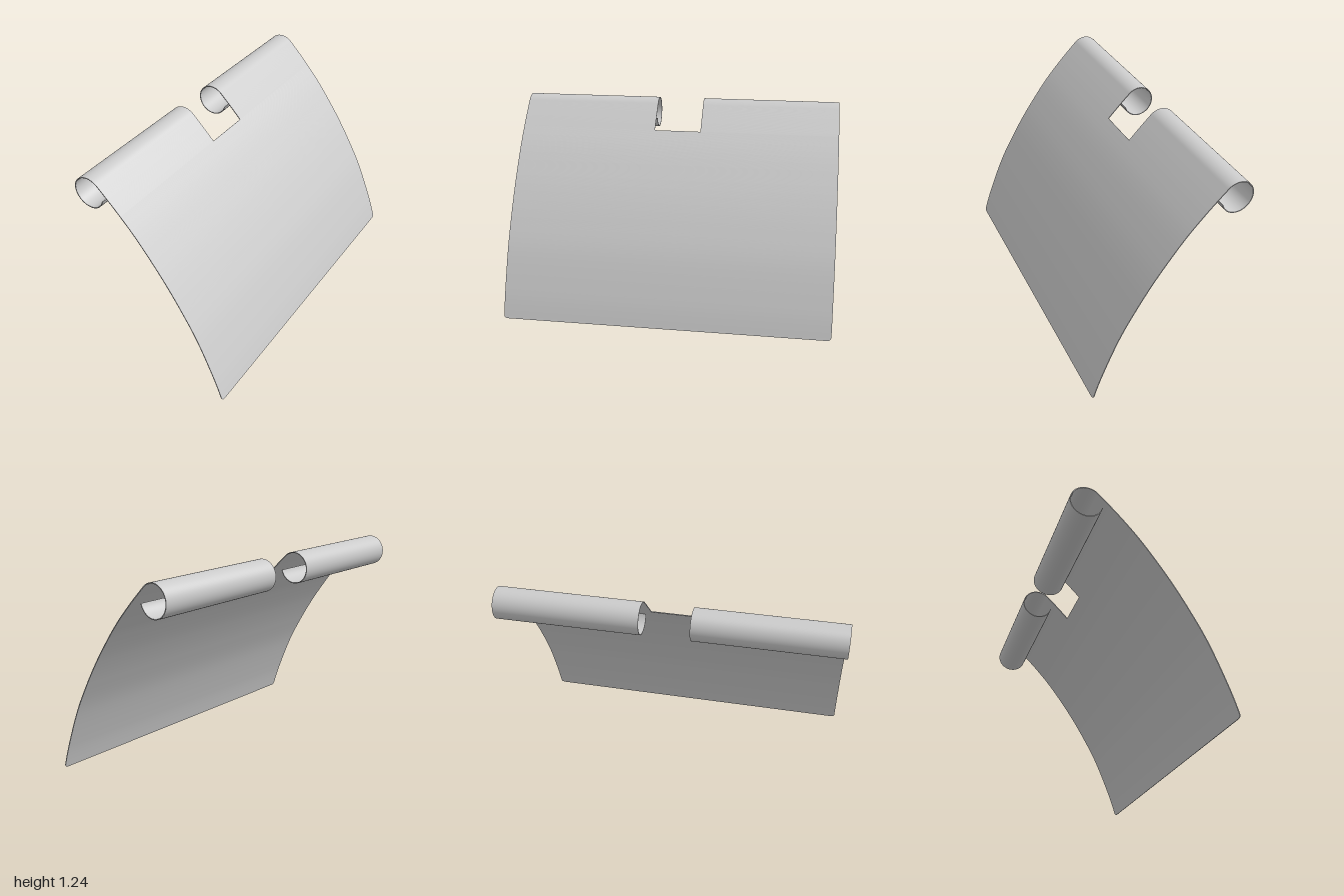
import * as THREE from 'three';

const THICK = 0.005, NOTCH = 0.145, HALF = 1, CORNER = 0.022, STEPS = 24;

// Side profile: bowed blade from the bottom edge up, then a rolled curl
function makeProfile() {
  const blade = new THREE.SplineCurve([
    [0.452, 0.001], [0.4, 0.155], [0.3, 0.395], [0.2, 0.58], [0.1, 0.741],
    [0, 0.882], [-0.08, 0.985], [-0.16, 1.075], [-0.23, 1.148], [-0.298, 1.215],
  ].map(([x, y]) => new THREE.Vector2(x, y)));
  const pts = blade.getPoints(9 * STEPS);
  const arc = 72, a0 = Math.PI / 4, a1 = Math.PI * 2 - 0.26;
  for (let i = 1; i <= arc; i++) {
    const a = a0 + (a1 - a0) * i / arc;
    pts.push(new THREE.Vector2(-0.363 + 0.092 * Math.cos(a), 1.15 + 0.092 * Math.sin(a)));
  }
  // each station holds its point, tangent and outward normal
  return pts.map((p, i) => {
    const t = pts[Math.min(i + 1, pts.length - 1)].clone().sub(pts[Math.max(i - 1, 0)]).normalize();
    return { p, t, n: new THREE.Vector2(t.y, -t.x) };
  });
}

// Thin solid sheet following the stations; span(station) gives its z range
function sheet(name, stations, span, material, capStart, capEnd) {
  const pos = [], nor = [];
  const at = (s, side, z) => [s.p.x + s.n.x * side * THICK / 2, s.p.y + s.n.y * side * THICK / 2, z];
  const quad = (c, n) => {
    for (const k of [0, 1, 2, 0, 2, 3]) {
      pos.push(...c[k]);
      nor.push(...n[k]);
    }
  };
  const same = (n) => [n, n, n, n];
  for (let i = 0; i < stations.length - 1; i++) {
    const s = stations[i], e = stations[i + 1];
    const [s0, s1] = span(s), [e0, e1] = span(e);
    const ns = [s.n.x, s.n.y, 0], ne = [e.n.x, e.n.y, 0];
    const neg = (v) => v.map((q) => -q);
    quad([at(s, 1, s0), at(e, 1, e0), at(e, 1, e1), at(s, 1, s1)], [ns, ne, ne, ns]);
    quad([at(s, -1, s1), at(e, -1, e1), at(e, -1, e0), at(s, -1, s0)], [ns, ne, ne, ns].map(neg));
    quad([at(s, -1, s1), at(s, 1, s1), at(e, 1, e1), at(e, -1, e1)], same([0, 0, 1]));
    quad([at(e, -1, e0), at(e, 1, e0), at(s, 1, s0), at(s, -1, s0)], same([0, 0, -1]));
  }
  // end strips
  const cap = (s, [z0, z1], dir) => {
    const c = [at(s, -1, z0), at(s, -1, z1), at(s, 1, z1), at(s, 1, z0)];
    quad(dir > 0 ? c : c.reverse(), same([s.t.x * dir, s.t.y * dir, 0]));
  };
  if (capStart) cap(stations[0], capStart, -1);
  if (capEnd) cap(stations[stations.length - 1], capEnd, 1);
  const g = new THREE.BufferGeometry();
  g.setAttribute('position', new THREE.Float32BufferAttribute(pos, 3));
  g.setAttribute('normal', new THREE.Float32BufferAttribute(nor, 3));
  const mesh = new THREE.Mesh(g, material);
  mesh.name = name;
  return mesh;
}

export function createModel() {
  const group = new THREE.Group();
  group.name = 'curledPlate';
  const material = new THREE.MeshStandardMaterial({ color: 0xcccccc, side: THREE.DoubleSide });
  const profile = makeProfile();
  const split = 7 * STEPS;

  // Blade with small rounded bottom corners
  const bottom = profile[0].p;
  const bladeSpan = (s) => {
    const d = Math.max(0, CORNER - s.p.distanceTo(bottom));
    const w = HALF - CORNER + Math.sqrt(CORNER * CORNER - d * d);
    return [-w, w];
  };
  group.add(sheet('blade', profile.slice(0, split + 1), bladeSpan, material,
    bladeSpan(profile[0]), [-NOTCH, NOTCH]));

  // Two rolled tabs either side of the notch
  for (const [name, z0, z1] of [['frontCurl', NOTCH, HALF], ['backCurl', -HALF, -NOTCH]]) {
    group.add(sheet(name, profile.slice(split), () => [z0, z1], material, null, [z0, z1]));
  }
  return group;
}
